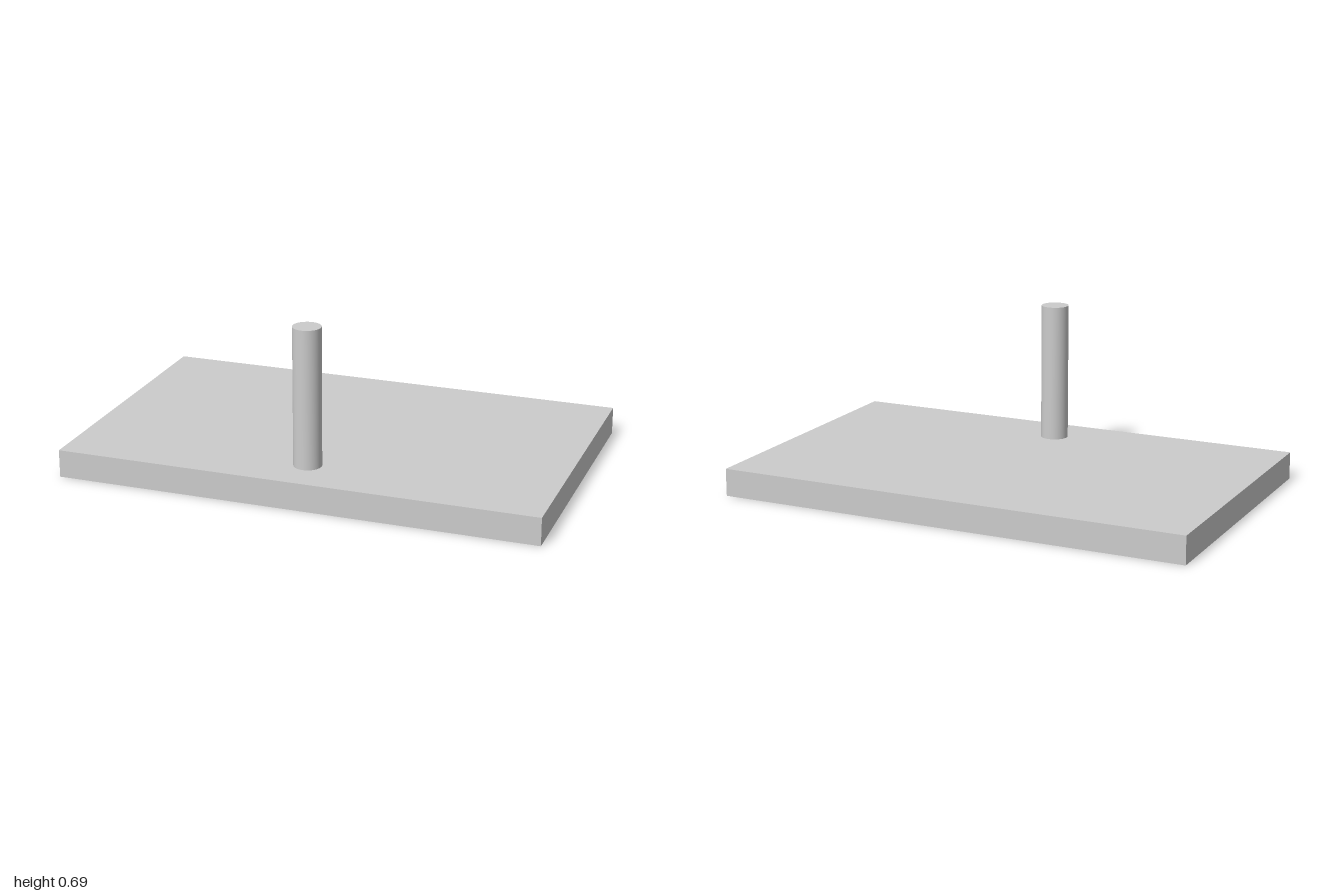
import * as THREE from 'three';

export function createModel() {
  const model = new THREE.Group();
  const material = new THREE.MeshStandardMaterial({ color: 0xcccccc });

  const plateHeight = 0.115;
  const postTop = 0.692;
  const postHeight = postTop - plateHeight;

  // Flat rectangular base
  const basePlate = new THREE.Mesh(new THREE.BoxGeometry(2, plateHeight, 1.23), material);
  basePlate.name = 'basePlate';
  basePlate.position.y = plateHeight / 2;
  model.add(basePlate);

  // Round upright post near the front edge
  const post = new THREE.Mesh(new THREE.CylinderGeometry(0.0575, 0.0575, postHeight, 48), material);
  post.name = 'post';
  post.position.set(0, plateHeight + postHeight / 2, 0.423);
  model.add(post);

  return model;
}
